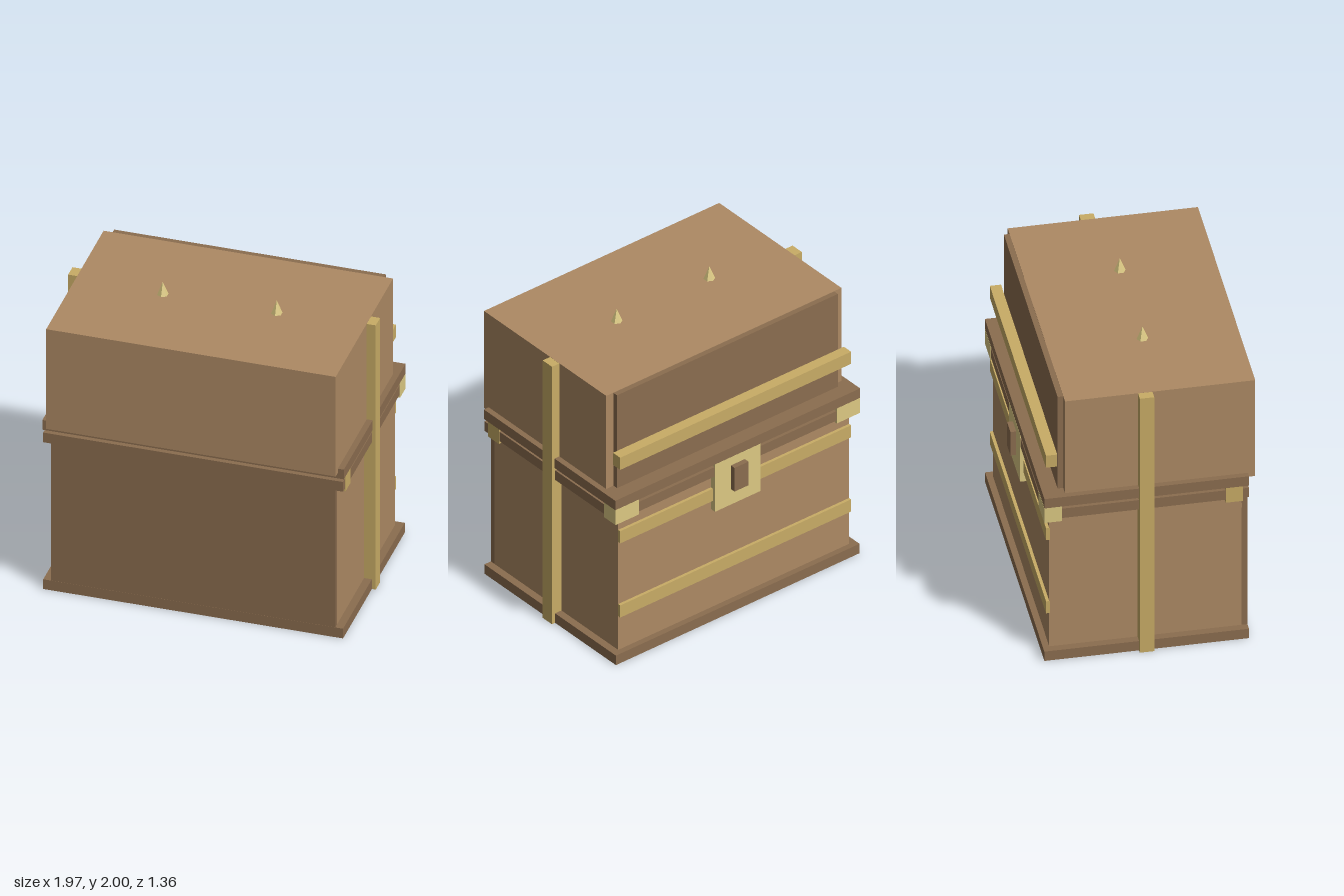
import * as THREE from 'three';

const mat = (color) => new THREE.MeshStandardMaterial({ color, flatShading: true });

export function createModel() {
  const chest = new THREE.Group();
  chest.name = 'chest';
  const wood = mat(0xad8a64), darkWood = mat(0x8b6d4f), gold = mat(0xc8ac66), paleGold = mat(0xdcc983);

  // Box given by its extents along each axis
  function box(name, material, [x0, x1], [y0, y1], [z0, z1]) {
    const mesh = new THREE.Mesh(new THREE.BoxGeometry(x1 - x0, y1 - y0, z1 - z0), material);
    mesh.position.set((x0 + x1) / 2, (y0 + y1) / 2, (z0 + z1) / 2);
    mesh.name = name;
    chest.add(mesh);
    return mesh;
  }
  const wide = (h) => [-h, h];

  // Lower body
  box('base', darkWood, wide(0.96), [0, 0.07], [-0.64, 0.635]);
  box('body', wood, wide(0.91), [0.01, 1.12], [-0.6, 0.6]);
  box('frontPanel', darkWood, wide(0.91), [0.01, 1.12], [0.597, 0.634]);
  box('bodyRim', darkWood, wide(0.96), [1.06, 1.13], [-0.638, 0.635]);

  // Lid
  box('lidRim', darkWood, wide(0.965), [1.15, 1.22], [-0.64, 0.635]);
  box('lid', wood, wide(0.927), [1.19, 1.91], [-0.505, 0.68]);
  box('lidBackPanel', darkWood, wide(0.87), [1.21, 1.908], [-0.54, -0.5]);

  // Horizontal bands across the back
  box('lidBand', gold, wide(0.91), [1.415, 1.505], [-0.62, -0.55]);
  box('upperBand', gold, wide(0.91), [0.87, 0.96], [-0.62, -0.595]);
  box('lowerBand', gold, wide(0.91), [0.32, 0.41], [-0.62, -0.595]);

  // Latch
  box('latchPlate', paleGold, wide(0.18), [0.8, 1.15], [-0.641, -0.6]);
  box('latchKnob', darkWood, wide(0.055), [0.915, 1.09], [-0.677, -0.635]);

  // Side straps, corner fittings and top spikes, mirrored
  for (const s of [1, -1]) {
    const side = (a, b) => (s > 0 ? [a, b] : [-b, -a]);
    const label = s > 0 ? 'left' : 'right';
    box(label + 'Strap', gold, side(0.88, 0.985), [0, 1.909], [-0.05, 0.04]);
    box(label + 'BackCorner', paleGold, side(0.78, 0.964), [1.04, 1.15], [-0.641, -0.53]);
    box(label + 'FrontCorner', gold, side(0.78, 0.964), [1.04, 1.15], [0.49, 0.597]);

    const spike = new THREE.Mesh(new THREE.ConeGeometry(0.036, 0.09, 6), paleGold);
    spike.position.set(s * 0.365, 1.955, 0.085);
    spike.name = label + 'Spike';
    chest.add(spike);
  }
  return chest;
}
